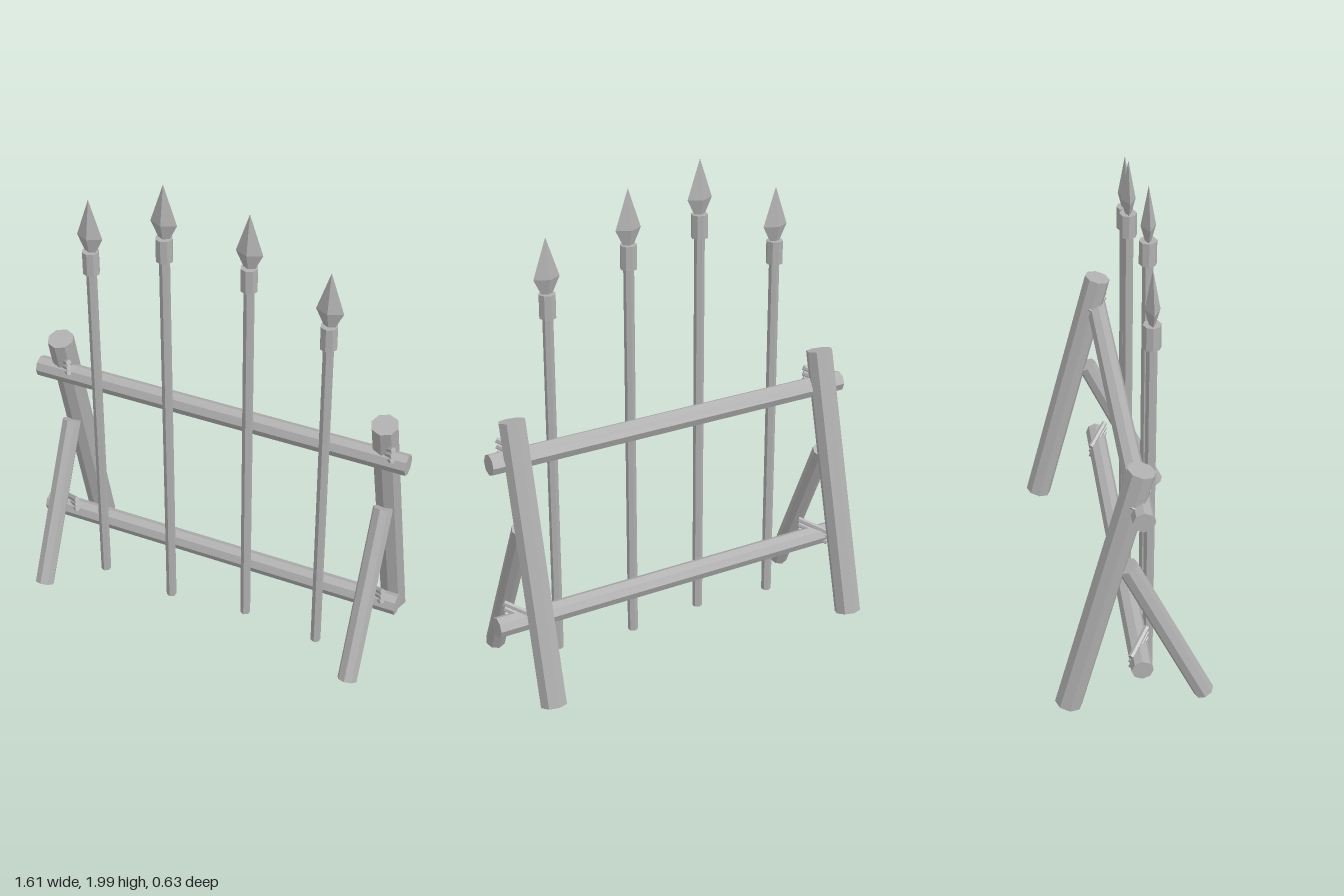
import * as THREE from 'three';

export function createModel() {
  const model = new THREE.Group();
  model.name = 'spearRack';
  const grey = new THREE.MeshStandardMaterial({ color: 0xb0b0b0 });
  grey.name = 'plain grey';
  grey.flatShading = true;

  const add = (parent, name, geometry) => {
    const mesh = new THREE.Mesh(geometry, grey);
    mesh.name = name;
    parent.add(mesh);
    return mesh;
  };

  // Faceted pole running between two points
  const pole = (parent, name, from, to, radius, sides) => {
    const a = new THREE.Vector3(...from);
    const b = new THREE.Vector3(...to);
    const dir = b.clone().sub(a);
    const mesh = add(parent, name, new THREE.CylinderGeometry(radius, radius, dir.length(), sides));
    mesh.position.copy(a).add(b).multiplyScalar(0.5);
    mesh.quaternion.setFromUnitVectors(new THREE.Vector3(0, 1, 0), dir.normalize());
    return mesh;
  };

  // Leaning posts, front struts and the lashings at each end
  const railHeights = [0.255, 0.97];
  for (const [side, x] of [['left', 0.703], ['right', -0.703]]) {
    const end = new THREE.Group();
    end.name = side + 'Support';
    model.add(end);
    pole(end, 'post', [x, 0.023, -0.26], [x, 1.13, 0.02], 0.055, 8);
    pole(end, 'strut', [x, 0.025, 0.28], [x, 0.69, -0.03], 0.041, 8);
    for (const y of railHeights) {
      for (let i = 0; i < 3; i++) {
        const h = y + 0.002 + i * 0.025;
        pole(end, 'lashing', [x - 0.052, h - 0.028, -0.02], [x + 0.052, h + 0.028, 0.055], 0.012, 6);
      }
    }
  }

  // Horizontal rails
  railHeights.forEach((y, i) =>
    pole(model, i ? 'upperRail' : 'lowerRail', [-0.807, y, 0.018], [0.807, y, 0.018], 0.043, 8));

  // Spears: x, z and tip height
  const spears = [[-0.508, 0.08, 1.845], [-0.174, 0.11, 2], [0.16, 0.08, 1.94], [0.495, 0.11, 1.795]];
  for (const [x, z, tip] of spears) {
    const spear = new THREE.Group();
    spear.name = 'spear';
    spear.position.set(x, 0, z);
    model.add(spear);
    pole(spear, 'shaft', [0, 0.02, 0], [0, tip - 0.24, 0], 0.021, 6);
    pole(spear, 'collar', [0, tip - 0.318, 0], [0, tip - 0.222, 0], 0.034, 8);
    // Flattened four-sided head
    const profile = [[0, -0.23], [0.02, -0.23], [0.055, -0.16], [0, 0]].map(p => new THREE.Vector2(...p));
    const head = add(spear, 'spearHead', new THREE.LatheGeometry(profile, 4));
    head.position.y = tip;
    head.scale.z = 0.52;
  }
  return model;
}
